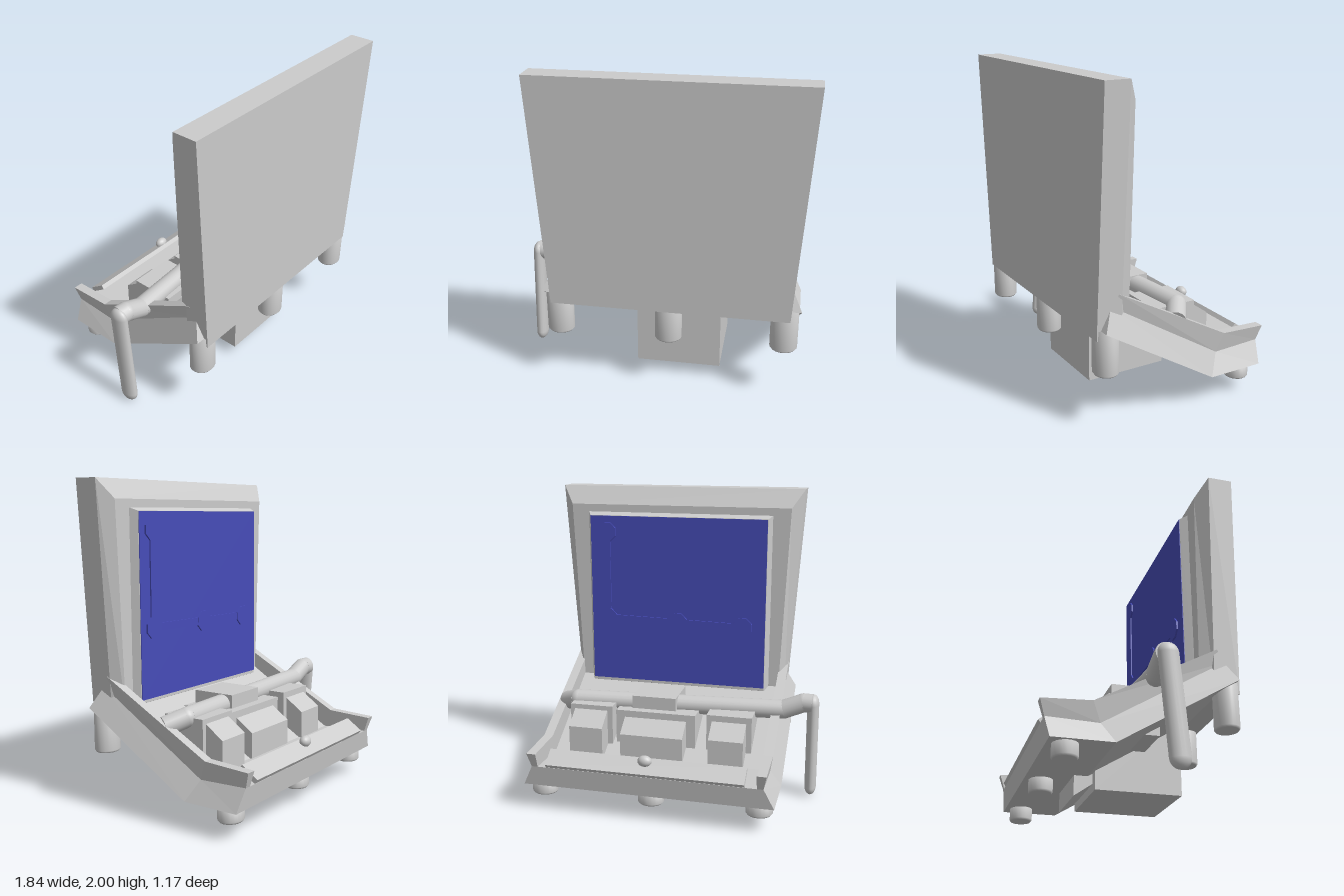
import * as THREE from 'three';

const CX = 0.085; // centre line of the console
const grey = new THREE.MeshStandardMaterial({ color: 0xcccccc });
const flat = new THREE.MeshStandardMaterial({ color: 0xcccccc, flatShading: true });
const blue = new THREE.MeshStandardMaterial({ color: 0x474cb8, flatShading: true });

// Joins matching cross-sections (running from +z to -z) and closes both ends.
function loft(sections, caps) {
  const pos = [];
  const quad = (a, b, c, d) => pos.push(...a, ...b, ...c, ...a, ...c, ...d);
  for (let s = 0; s < sections.length - 1; s++) {
    const p = sections[s], q = sections[s + 1];
    p.forEach((_, i) => {
      const j = (i + 1) % p.length;
      quad(p[i], p[j], q[j], q[i]);
    });
  }
  const first = sections[0], last = sections[sections.length - 1];
  for (const [a, b, c, d] of caps) {
    quad(first[d], first[c], first[b], first[a]);
    quad(last[a], last[b], last[c], last[d]);
  }
  const g = new THREE.BufferGeometry();
  g.setAttribute('position', new THREE.Float32BufferAttribute(pos, 3));
  g.computeVertexNormals();
  return g;
}

export function createModel() {
  const model = new THREE.Group();
  const add = (name, geometry, material = flat, parent = model) => {
    const m = new THREE.Mesh(geometry, material);
    m.name = name;
    parent.add(m);
    return m;
  };
  // Box given by its limits on each axis
  const block = (name, x0, x1, y0, y1, z0, z1, material) => {
    const m = add(name, new THREE.BoxGeometry(x1 - x0, y1 - y0, z1 - z0), material);
    m.position.set((x0 + x1) / 2, (y0 + y1) / 2, (z0 + z1) / 2);
    return m;
  };

  // Tray: sloping floor with raised, flared side walls; [z, y] of bottom, floor and rim
  const tray = [
    [[0.565, 0.62], [0.50, 0.75], [0.455, 0.82]],
    [[-0.17, 0.175], [-0.24, 0.30], [-0.285, 0.42]],
    [[-0.53, 0.175], [-0.55, 0.31], [-0.58, 0.405]],
  ].map(([b, m, r]) => {
    const half = [[0.805, b], [0.74, m], [0.76, r], [0.70, r], [0.70, m]];
    const left = half.map(([w, [z, y]]) => [CX - w, y, z]);
    const right = half.map(([w, [z, y]]) => [CX + w, y, z]).reverse();
    return [...left, ...right];
  });
  add('tray', loft(tray, [[0, 1, 8, 9], [1, 2, 3, 4], [5, 6, 7, 8]]));

  // Screen housing: tapered slab with a stepped, bevelled face
  const housing = [ // z, top half width, top y, bottom half width, bottom y
    [0.59, 0.835, 2, 0.74, 0.56],
    [0.435, 0.835, 2, 0.74, 0.56],
    [0.36, 0.755, 1.88, 0.70, 0.60],
    [0.36, 0.635, 1.83, 0.635, 0.62],
    [0.312, 0.61, 1.81, 0.61, 0.64],
  ].map(([z, tw, ty, bw, by]) => [
    [CX - bw, by, z], [CX - tw, ty, z], [CX + tw, ty, z], [CX + bw, by, z],
  ]);
  add('screenHousing', loft(housing, [[0, 1, 2, 3]]));
  block('screen', CX - 0.608, CX + 0.608, 0.66, 1.808, 0.308, 0.318, blue);

  // Raised map on the screen: rooms joined by passages
  const rooms = [[0.58, 1.70], [0.58, 1.10], [0.08, 1.09], [-0.37, 1.08]];
  rooms.forEach(([x, y], i) => {
    const room = add('mapRoom', new THREE.CylinderGeometry(0.07, 0.07, 0.012, 8), blue);
    room.rotation.set(Math.PI / 2, Math.PI / 8, 0);
    room.position.set(x, y, 0.303);
    if (i === 0) return;
    const [px, py] = rooms[i - 1];
    const passage = add('mapPassage',
      new THREE.BoxGeometry(Math.hypot(x - px, y - py), 0.05, 0.01), blue);
    passage.position.set((x + px) / 2, (y + py) / 2, 0.304);
    passage.rotation.z = Math.atan2(y - py, x - px);
  });

  // Feet: three tall ones under the screen, three short ones under the tray lip
  const foot = (x, z, y0, y1) => {
    const h = y1 - y0;
    const pts = [[0, 0], [0.075, 0], [0.085, 0.012], [0.085, h], [0, h]];
    const g = new THREE.LatheGeometry(pts.map(p => new THREE.Vector2(...p)), 20);
    const m = add('foot', g, grey);
    m.scale.z = 0.88;
    m.position.set(x, y0, z);
  };
  for (const x of [-0.615, 0.075, 0.79]) {
    foot(x, 0.515, 0.34, 0.62);
    foot(x, -0.425, 0.09, 0.2);
  }

  // Machine blocks set through the sloping floor
  block('centreBlock', -0.145, 0.39, 0.08, 0.585, -0.14, 0.40);
  block('rightBlock', -0.515, -0.22, 0.31, 0.60, -0.14, 0.145);
  block('leftBlock', 0.41, 0.70, 0.33, 0.61, -0.16, 0.125);
  block('pipeClamp', 0, 0.295, 0.52, 0.67, -0.08, 0.21);

  // Smaller blocks in front of them, sheared to follow the slope
  const wedge = (name, x0, x1, y0, y1, z0, z1) => {
    const m = block(name, x0, x1, y0, y1, z0, z1);
    const p = m.geometry.attributes.position, depth = z1 - z0;
    for (let i = 0; i < p.count; i++) p.setY(i, p.getY(i) + 0.7 * (p.getZ(i) + depth / 2));
    m.geometry.computeVertexNormals();
  };
  wedge('centreWedge', -0.085, 0.33, 0.05, 0.46, -0.255, -0.135);
  wedge('rightWedge', -0.48, -0.255, 0.24, 0.475, -0.26, -0.135);
  wedge('leftWedge', 0.445, 0.67, 0.24, 0.495, -0.28, -0.155);

  // Tilted control bar with its knob
  const bar = add('controlBar', new THREE.BoxGeometry(1.27, 0.03, 0.125));
  bar.position.set(0.095, 0.355, -0.502);
  bar.rotation.x = -0.6;
  const knob = add('knob', new THREE.SphereGeometry(0.045, 16, 12), grey);
  knob.scale.set(1, 0.8, 0.75);
  knob.position.set(0.095, 0.395, -0.495);

  // Pipe across the tray, bending into the left wall and down outside the right wall
  const pipe = new THREE.Group();
  pipe.name = 'pipe';
  model.add(pipe);
  const V = (x, y, z) => new THREE.Vector3(x, y, z);
  const run = [V(-0.88, 0.66, 0.07), V(-0.82, 0.66, 0.075), V(-0.69, 0.605, 0.072),
    V(0.69, 0.605, -0.033), V(0.80, 0.56, 0.045)];
  const straight = (a, b) => {
    const g = new THREE.CylinderGeometry(0.062, 0.062, a.distanceTo(b), 18);
    const m = add('pipeRun', g, grey, pipe);
    m.position.copy(a).lerp(b, 0.5);
    m.quaternion.setFromUnitVectors(V(0, 1, 0), b.clone().sub(a).normalize());
  };
  run.forEach((p, i) => {
    if (i) straight(run[i - 1], p);
    if (i && i < run.length - 1) {
      add('pipeElbow', new THREE.SphereGeometry(0.062, 18, 12), grey, pipe).position.copy(p);
    }
  });
  // Down-pipe: oval in section with a rounded lower end
  const drop = add('downPipe', new THREE.CapsuleGeometry(0.062, 0.596, 6, 18), grey, pipe);
  drop.scale.x = 0.62;
  drop.position.set(-0.882, 0.36, 0.103);
  drop.rotation.x = -0.08;

  return model;
}
